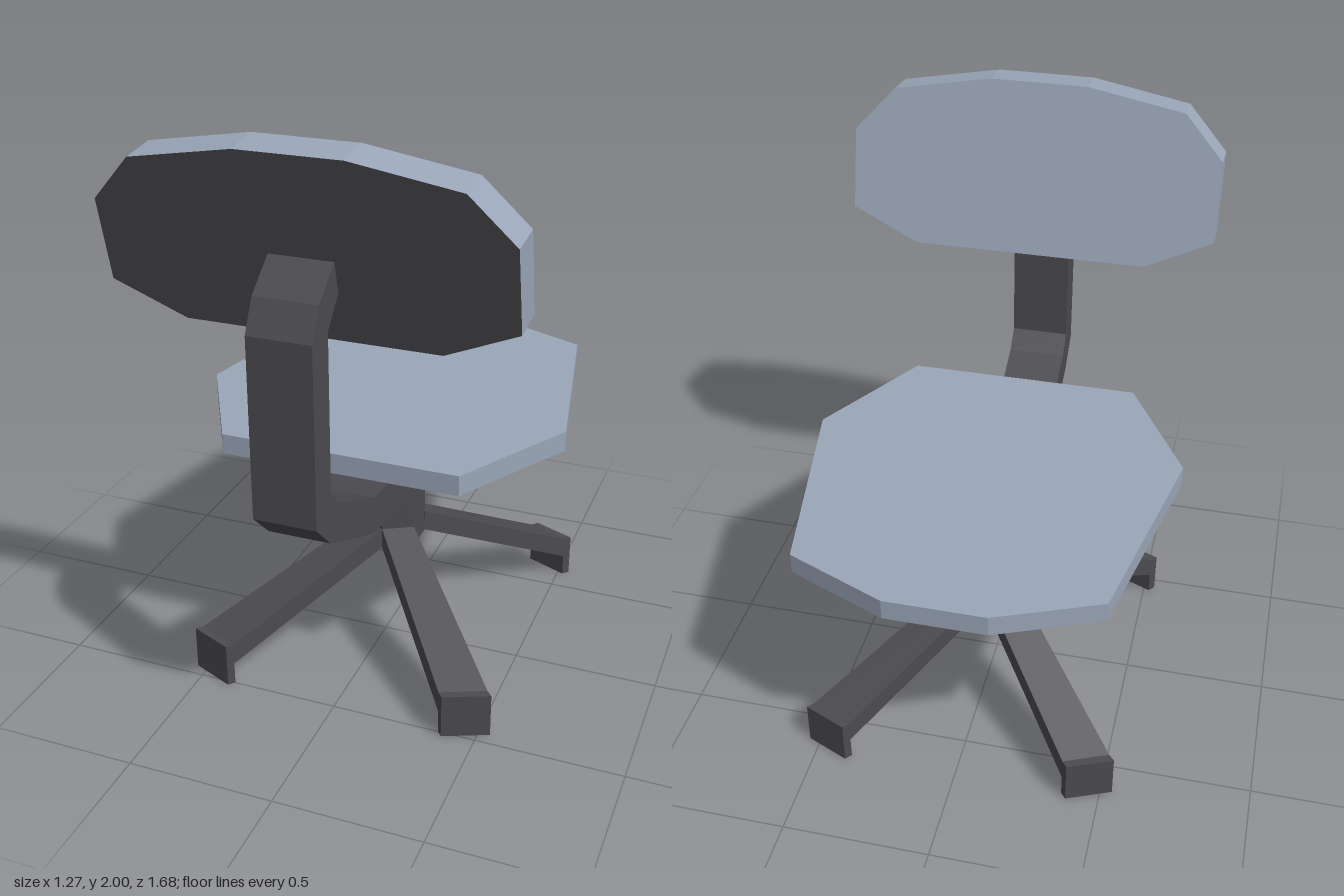
import * as THREE from 'three';

const padBlue = new THREE.MeshStandardMaterial({ color: 0x9aa6b8 });
padBlue.name = 'padBlue';
const frameGrey = new THREE.MeshStandardMaterial({ color: 0x4c4b4f });
frameGrey.name = 'frameGrey';

const HUB_Z = -0.077;
const lerp = THREE.MathUtils.lerp;

// Flat-sided slab from an outline of [x, y] points
function slab(points, depth) {
  const shape = new THREE.Shape(points.map(([x, y]) => new THREE.Vector2(x, y)));
  return new THREE.ExtrudeGeometry(shape, { depth, bevelEnabled: false });
}

// Completes the right half of an outline with its mirror image
function mirrored(half) {
  return [...half, ...half.map(([x, y]) => [-x, y]).reverse()];
}

function addMesh(group, name, geometry, material) {
  const mesh = new THREE.Mesh(geometry, material);
  mesh.name = name;
  group.add(mesh);
  return mesh;
}

// Leg with a foot: a side profile (t outward, y up) that widens towards the tip
function legGeometry(sx, sz) {
  const geometry = slab([
    [0, 0.365], [0.955, 0.08], [0.955, 0], [1, 0], [1, 0.157], [0.955, 0.157], [0, 0.44],
  ], 1);
  const pos = geometry.attributes.position;
  for (let i = 0; i < pos.count; i++) {
    const t = pos.getX(i);
    const s = sx * sz > 0 ? pos.getZ(i) : 1 - pos.getZ(i);
    const x = lerp(lerp(0.1, 0.54, t), lerp(0, 0.39, t), s);
    const z = lerp(lerp(0.058, 0.533, t), lerp(0.115, 0.597, t), s);
    pos.setXYZ(i, sx * x, pos.getY(i), HUB_Z + sz * z);
  }
  geometry.computeVertexNormals();
  return geometry;
}

export function createModel() {
  const model = new THREE.Group();
  model.name = 'swivelChair';

  // Seat
  const seat = slab(mirrored([[0.405, -0.435], [0.637, -0.02], [0.5, 0.7], [0.165, 0.84]]), 0.07);
  seat.rotateX(-Math.PI / 2).translate(0, 0.863, 0);
  addMesh(model, 'seat', seat, padBlue);

  // Backrest, leaning, with a grey rear face
  const outline = mirrored([[0.405, 0], [0.637, 0.105], [0.637, 0.373], [0.5, 0.518], [0.165, 0.576]]);
  const backrest = slab(outline, 0.128);
  const capCount = (outline.length - 2) * 3;
  backrest.clearGroups();
  backrest.addGroup(0, capCount, 0);
  backrest.addGroup(capCount, capCount, 1);
  backrest.addGroup(capCount * 2, backrest.attributes.position.count - capCount * 2, 0);
  backrest.applyMatrix4(new THREE.Matrix4().makeBasis(
    new THREE.Vector3(1, 0, 0),
    new THREE.Vector3(0, 1, 0.235),
    new THREE.Vector3(0, -0.125, 1),
  ).setPosition(0, 1.424, 0.483));
  addMesh(model, 'backrest', backrest, [padBlue, frameGrey]);

  // Bent arm from the hub to the backrest, as a (z, y) profile
  const arm = slab([
    [-0.03, 0.573], [0.387, 0.638], [0.737, 0.8], [0.838, 0.897], [0.838, 1.483], [0.785, 1.583],
    [0.66, 1.68], [0.63, 1.583], [0.645, 1.571], [0.727, 1.483], [0.727, 0.965], [0.668, 0.903],
    [0.383, 0.77], [-0.03, 0.716],
  ], 0.204);
  arm.rotateY(-Math.PI / 2).translate(0.102, 0, 0);
  addMesh(model, 'backrestArm', arm, frameGrey);

  // Six-sided hub column
  const hub = new THREE.CylinderGeometry(0.115, 0.115, 0.5, 6).toNonIndexed();
  hub.computeVertexNormals();
  hub.translate(0, 0.615, HUB_Z);
  addMesh(model, 'hubColumn', hub, frameGrey);

  // Four legs
  for (const sx of [1, -1]) {
    for (const sz of [1, -1]) {
      const name = (sz > 0 ? 'front' : 'rear') + (sx > 0 ? 'Left' : 'Right') + 'Leg';
      addMesh(model, name, legGeometry(sx, sz), frameGrey);
    }
  }
  return model;
}
